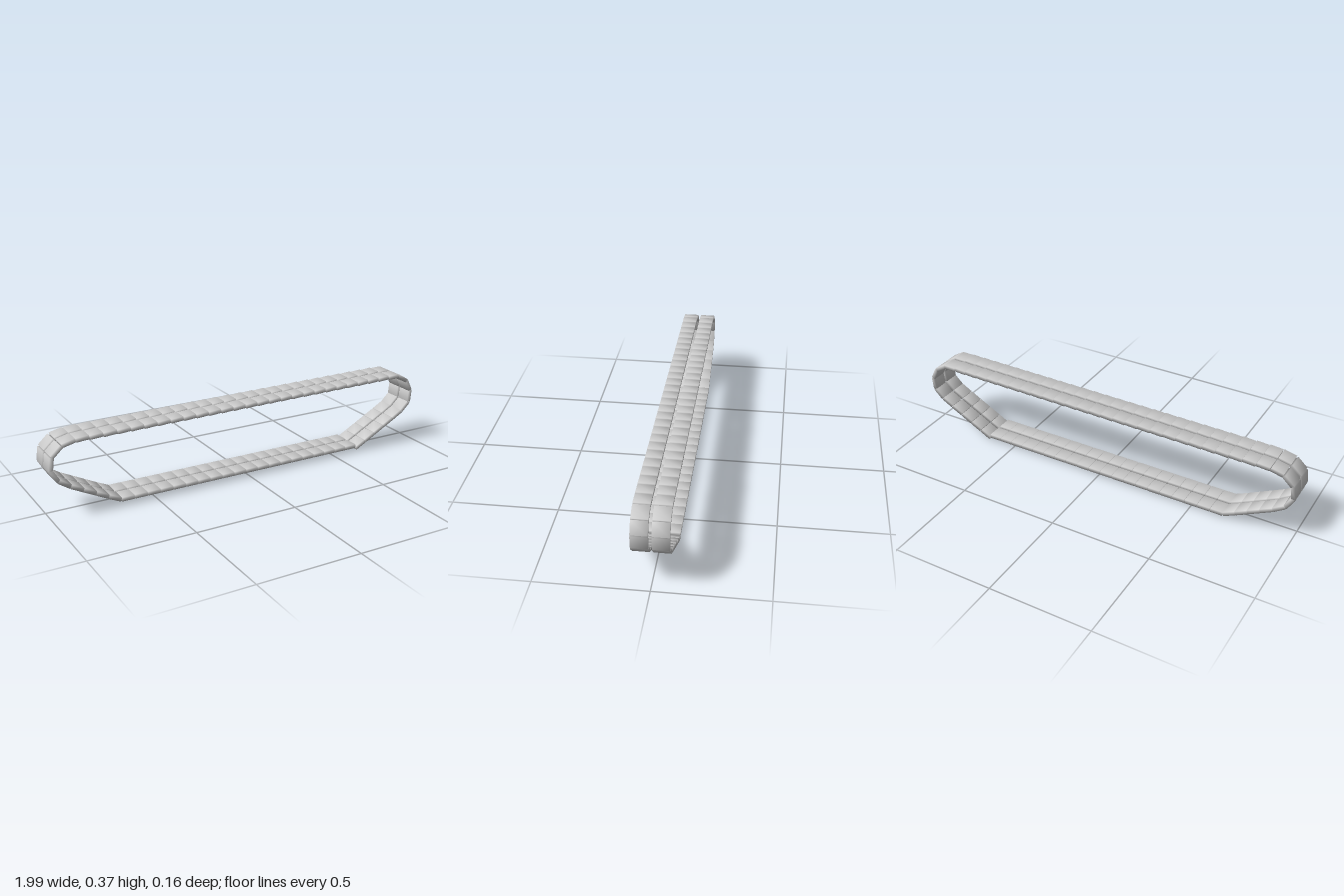
import * as THREE from 'three';
import { mergeVertices } from 'three/addons/utils/BufferGeometryUtils.js';

const LINKS = 65, WIDTH = 0.073, THICK = 0.02, ROW_Z = 0.0445;

// Centre line of the belt, from the front lower corner round over the top
const PATH = [
  [0.645, 0.01], [0.92, 0.157], [0.972, 0.19], [0.989, 0.245], [0.978, 0.305], [0.93, 0.356], [0.88, 0.364],
  [-0.88, 0.355], [-0.93, 0.34], [-0.978, 0.295], [-0.989, 0.24], [-0.97, 0.19], [-0.92, 0.152],
  [-0.67, 0.025], [0.645, 0.024],
];

// Slab with shared corners, so its shading is smooth; ends lean a little
function linkGeometry(length) {
  const box = new THREE.BoxGeometry(length, THICK, WIDTH);
  box.deleteAttribute('normal');
  box.deleteAttribute('uv');
  const geo = mergeVertices(box);
  const p = geo.attributes.position;
  for (let i = 0; i < p.count; i++) p.setX(i, p.getX(i) - p.getY(i) * 0.12);
  geo.computeVertexNormals();
  return geo;
}

export function createModel() {
  const model = new THREE.Group();
  model.name = 'trackBelt';
  const material = new THREE.MeshStandardMaterial({ color: 0xcccccc });

  const path = new THREE.CurvePath();
  for (let i = 1; i < PATH.length; i++) {
    path.add(new THREE.LineCurve(new THREE.Vector2(...PATH[i - 1]), new THREE.Vector2(...PATH[i])));
  }
  const points = path.getSpacedPoints(LINKS);
  const geometry = linkGeometry(path.getLength() / LINKS - 0.003);

  // Two parallel rows of links
  for (const side of [1, -1]) {
    const row = new THREE.Group();
    row.name = side > 0 ? 'frontRow' : 'backRow';
    row.position.z = side * ROW_Z;
    for (let i = 0; i < LINKS; i++) {
      const a = points[i], b = points[i + 1];
      const link = new THREE.Mesh(geometry, material);
      link.name = 'link' + (i + 1);
      link.position.set((a.x + b.x) / 2, (a.y + b.y) / 2, 0);
      link.rotation.z = Math.atan2(b.y - a.y, b.x - a.x);
      // Links of the upper run sit slightly tilted
      if (link.position.y > 0.35 && Math.abs(link.position.x) < 0.88) link.rotation.z += 0.06;
      row.add(link);
    }
    model.add(row);
  }
  return model;
}
